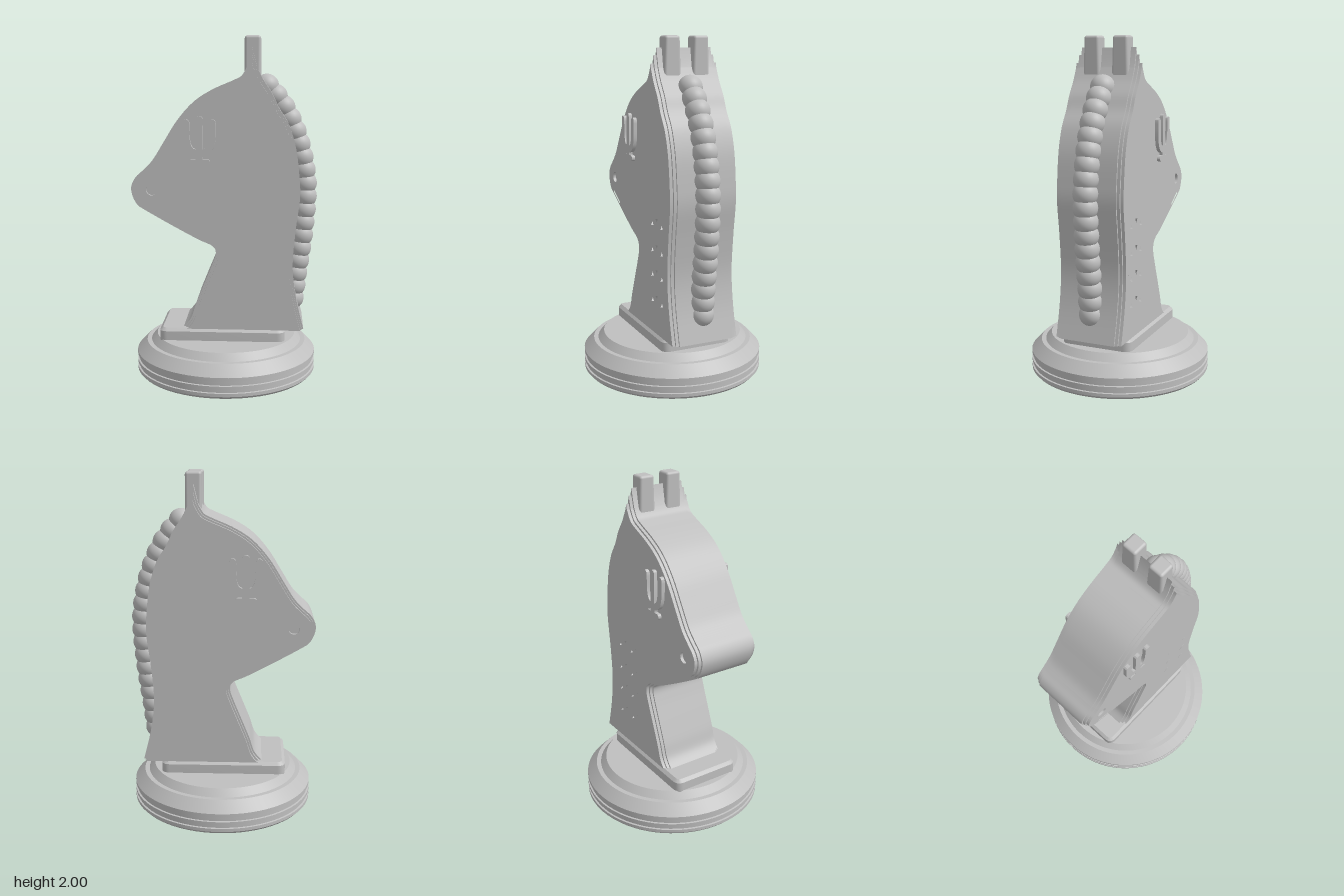
import * as THREE from 'three';
import { toCreasedNormals } from 'three/addons/utils/BufferGeometryUtils.js';
import { RoundedBoxGeometry } from 'three/addons/geometries/RoundedBoxGeometry.js';

const V = (x, y) => new THREE.Vector2(x, y);
const vectors = (pairs) => pairs.map(([x, y]) => V(x, y));
const FLOOR = 0.295; // underside of the neck

// Extrude a shape symmetrically about z = 0
function slab(shape, half) {
  const g = new THREE.ExtrudeGeometry(shape, { depth: half * 2, bevelEnabled: false, curveSegments: 12 });
  return toCreasedNormals(g.translate(0, 0, -half), 0.5);
}

// Closed outline of a round-ended ribbon following a path
function ribbon(points, half) {
  const n = points.length;
  const left = [], right = [];
  points.forEach((p, i) => {
    const d = points[Math.min(i + 1, n - 1)].clone().sub(points[Math.max(i - 1, 0)]).normalize();
    left.push(V(p.x - d.y * half, p.y + d.x * half));
    right.push(V(p.x + d.y * half, p.y - d.x * half));
  });
  const cap = (c, from) => {
    const a = Math.atan2(from.y - c.y, from.x - c.x);
    return [1, 2, 3, 4, 5].map((k) => {
      const t = a - (k * Math.PI) / 6;
      return V(c.x + Math.cos(t) * half, c.y + Math.sin(t) * half);
    });
  };
  return [...left, ...cap(points[n - 1], left[n - 1]), ...right.reverse(), ...cap(points[0], right[n - 1])];
}

// Head and neck silhouette, clockwise from the front foot of the neck
function silhouette() {
  const s = new THREE.Shape();
  s.moveTo(-0.246, FLOOR);
  s.splineThru(vectors([[-0.198, 0.352], [-0.167, 0.442], [-0.114, 0.574], [-0.071, 0.68], [-0.05, 0.749],
    [-0.071, 0.791], [-0.151, 0.828], [-0.31, 0.913], [-0.468, 1.003], [-0.51, 1.034], [-0.537, 1.087],
    [-0.542, 1.14], [-0.516, 1.193], [-0.468, 1.238], [-0.415, 1.294], [-0.352, 1.394], [-0.272, 1.521],
    [-0.177, 1.627], [-0.071, 1.696], [0.05, 1.749], [0.098, 1.775], [0.13, 1.828]]));
  s.lineTo(0.156, 1.934);
  s.lineTo(0.183, 1.828);
  s.splineThru(vectors([[0.22, 1.754], [0.272, 1.675], [0.31, 1.595], [0.368, 1.5], [0.41, 1.368], [0.431, 1.209],
    [0.437, 1.077], [0.415, 0.892], [0.4, 0.68], [0.42, 0.495], [0.468, FLOOR]]));
  return s.getPoints(5);
}

// Move the outline inwards with mitred corners, keeping the underside level
function inset(points, d) {
  const n = points.length;
  return points.map((p, i) => {
    const a = p.clone().sub(points[i ? i - 1 : 0]).normalize();
    const b = points[Math.min(i + 1, n - 1)].clone().sub(p).normalize();
    if (i === 0) a.copy(b);
    if (i === n - 1) b.copy(a);
    const m = V(a.y + b.y, -a.x - b.x).normalize();
    const k = d / Math.max(0.2, m.x * a.y - m.y * a.x);
    return V(p.x + m.x * k, i === 0 || i === n - 1 ? FLOOR : p.y + m.y * k);
  });
}

export function createModel() {
  const model = new THREE.Group();
  const grey = new THREE.MeshStandardMaterial({ color: 0xbfbfbf });
  grey.name = 'stone grey';
  const add = (name, geometry, parent = model) => {
    const mesh = new THREE.Mesh(geometry, grey);
    mesh.name = name;
    parent.add(mesh);
    return mesh;
  };
  const group = (name) => {
    const g = new THREE.Group();
    g.name = name;
    model.add(g);
    return g;
  };

  // Turned round base with grooves and two sloped steps
  const profile = vectors([[0, 0], [0.527, 0], [0.541, 0.015], [0.541, 0.034], [0.531, 0.036], [0.531, 0.056],
    [0.541, 0.058], [0.541, 0.076], [0.531, 0.078], [0.531, 0.104], [0.541, 0.106], [0.541, 0.126],
    [0.482, 0.187], [0.455, 0.187], [0.42, 0.228], [0, 0.228]]);
  add('roundBase', toCreasedNormals(new THREE.LatheGeometry(profile, 72), 0.4));

  // Rounded rectangular plinth with a chamfered top
  const plinth = new THREE.Shape();
  const [x0, x1, w, r] = [-0.365, 0.34, 0.2, 0.03];
  plinth.moveTo(x0 + r, -w);
  plinth.lineTo(x1 - r, -w);
  plinth.quadraticCurveTo(x1, -w, x1, -w + r);
  plinth.lineTo(x1, w - r);
  plinth.quadraticCurveTo(x1, w, x1 - r, w);
  plinth.lineTo(x0 + r, w);
  plinth.quadraticCurveTo(x0, w, x0, w - r);
  plinth.lineTo(x0, -w + r);
  plinth.quadraticCurveTo(x0, -w, x0 + r, -w);
  const plinthGeo = new THREE.ExtrudeGeometry(plinth, {
    depth: 0.07, bevelThickness: 0.018, bevelSize: 0.018, bevelSegments: 1, curveSegments: 6,
  });
  plinthGeo.rotateX(-Math.PI / 2).translate(0, 0.212, 0);
  add('plinth', toCreasedNormals(plinthGeo, 0.4));

  // Head and neck: stepped layers, the widest one carrying the engravings
  const outline = silhouette();
  const head = group('headAndNeck');
  add('core', slab(new THREE.Shape(outline), 0.168), head);
  add('edgeStep', slab(new THREE.Shape(inset(outline, 0.01)), 0.186), head);
  const face = new THREE.Shape(inset(outline, 0.021));
  const engrave = (points) => face.holes.push(new THREE.Path(points));

  // Wavy grooves on the neck
  for (const y of [0.955, 0.8, 0.652, 0.497]) {
    const wave = [];
    for (let i = 0; i <= 40; i++) {
      wave.push(V(0.085 + (0.262 * i) / 40, y + 0.036 * Math.cos((i / 40) * Math.PI * 4)));
    }
    engrave(ribbon(wave, 0.011));
  }
  // Nostril and mouth
  const nostril = [];
  for (let i = 0; i < 24; i++) {
    const a = (i / 24) * Math.PI * 2;
    nostril.push(V(-0.418 + 0.032 * Math.cos(a), 1.124 + 0.032 * Math.sin(a)));
  }
  engrave(nostril);
  engrave(ribbon(vectors([[-0.44, 1.029], [-0.345, 0.975]]), 0.006));
  add('engravedFaces', slab(face, 0.204), head);

  // Raised three-pronged ornament on both cheeks
  const ornament = group('cheekOrnament');
  const strip = (name, points, half) => add(name, slab(new THREE.Shape(ribbon(points, half)), 0.225), ornament);
  const cx = -0.14;
  for (const s of [-1, 1]) {
    const bend = new THREE.SplineCurve(vectors([[cx + s * 0.075, 1.51], [cx + s * 0.072, 1.41],
      [cx + s * 0.05, 1.355], [cx, 1.335]]));
    strip('sideProng', bend.getPoints(16), 0.02);
  }
  strip('middleProng', vectors([[cx, 1.53], [cx, 1.29]]), 0.02);
  strip('ornamentFoot', vectors([[cx - 0.045, 1.288], [cx + 0.045, 1.288]]), 0.017);

  // Ears, slightly wider towards the root
  for (const s of [1, -1]) {
    const ear = new RoundedBoxGeometry(0.092, 0.32, 0.09, 3, 0.015);
    const p = ear.attributes.position;
    for (let i = 0; i < p.count; i++) p.setZ(i, p.getZ(i) * (1.12 - p.getY(i) * 0.75));
    add(s > 0 ? 'leftEar' : 'rightEar', ear).position.set(0.159, 1.84, s * 0.088);
  }

  // Beaded mane down the back
  const mane = group('mane');
  const path = new THREE.CatmullRomCurve3([[0.24, 1.715], [0.315, 1.625], [0.375, 1.52], [0.43, 1.37], [0.47, 1.145],
    [0.455, 0.86], [0.42, 0.59], [0.403, 0.444]].map(([x, y]) => new THREE.Vector3(x, y, 0)));
  const bead = new THREE.SphereGeometry(0.071, 28, 18);
  for (const p of path.getSpacedPoints(17)) add('maneBead', bead, mane).position.copy(p);

  return model;
}
